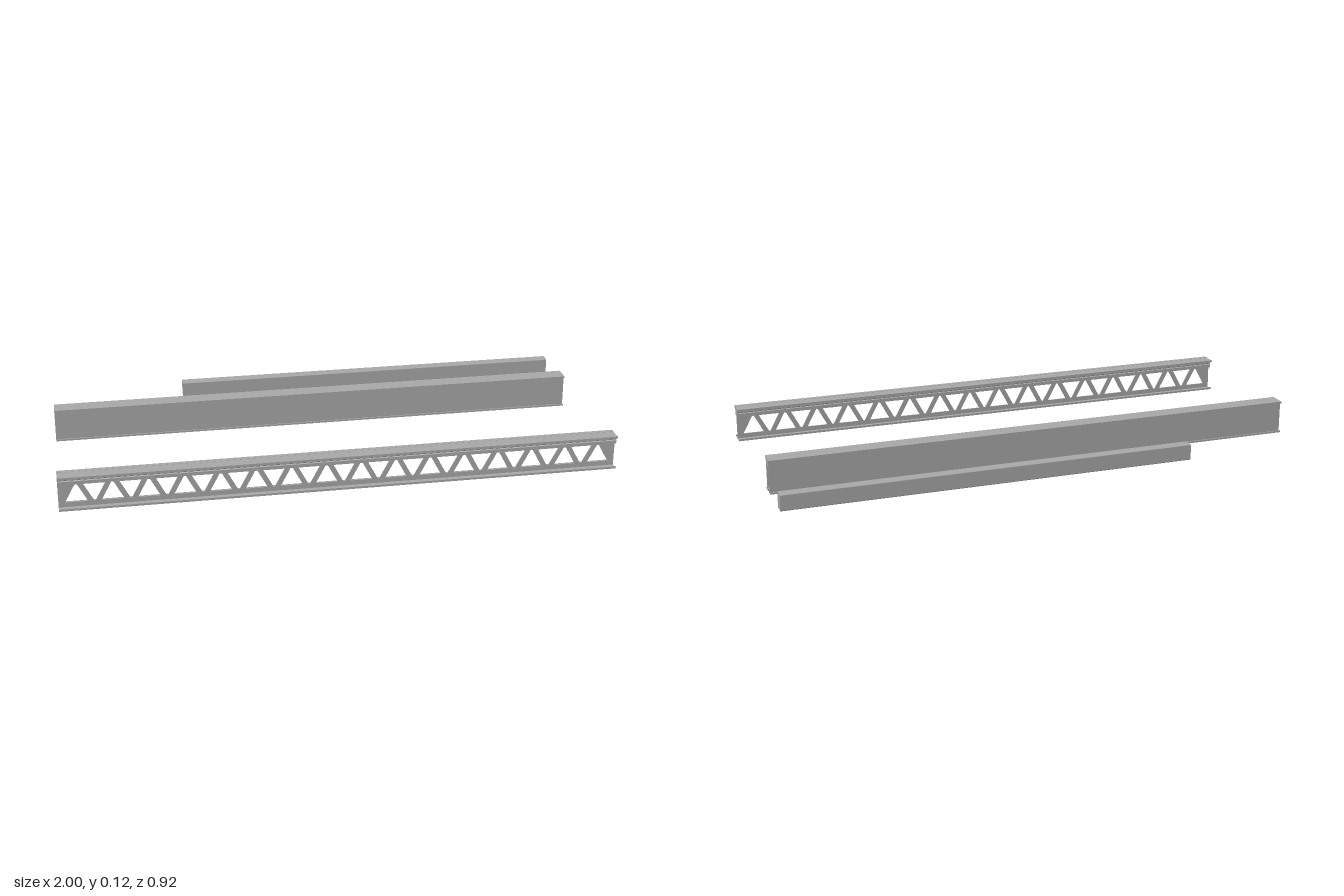
import * as THREE from 'three';

const steel = new THREE.MeshStandardMaterial({ color: 0xa8a8a8 });
steel.name = 'grey';

// Extrude a cross-section (across, up) along x from x0 to x1
function alongX(name, shape, x0, x1) {
  const geo = new THREE.ExtrudeGeometry(shape, { depth: x1 - x0, bevelEnabled: false, curveSegments: 5 });
  geo.rotateY(Math.PI / 2);
  geo.translate(x0, 0, 0);
  const mesh = new THREE.Mesh(geo, steel);
  mesh.name = name;
  return mesh;
}

// Closed polygon shape, turned to counter-clockwise order
function polygon(points) {
  const pts = points.map(p => new THREE.Vector2(p[0], p[1]));
  if (THREE.ShapeUtils.isClockWise(pts)) pts.reverse();
  return new THREE.Shape(pts);
}

// Outline of a folded sheet of thickness t following a centre line, with mitred folds
function sheet(points, t = 0.0022) {
  const p = points.map(q => new THREE.Vector2(q[0], q[1]));
  const normal = i => {
    const d = p[i + 1].clone().sub(p[i]).normalize();
    return new THREE.Vector2(-d.y, d.x);
  };
  const a = [], b = [];
  p.forEach((q, i) => {
    const n0 = normal(Math.max(i - 1, 0));
    const n1 = normal(Math.min(i, p.length - 2));
    const m = n0.clone().add(n1).normalize();
    m.multiplyScalar(t / 2 / m.dot(n1));
    a.push([q.x + m.x, q.y + m.y]);
    b.unshift([q.x - m.x, q.y - m.y]);
  });
  return polygon([...a, ...b]);
}

const mirror = pts => pts.map(([u, y]) => [-u, y]);
// A half outline plus its mirror image
const both = half => [...half, ...mirror(half).reverse()];

// Beam with a triangulated web and a timber-filled head
function trussBeam() {
  const g = new THREE.Group();
  g.name = 'trussBeam';
  const x0 = -1, x1 = 0.984;

  const side = [[0.027, 0.119], [0.0308, 0.119], [0.0308, 0.1235], [0.0165, 0.1235], [0.0165, 0.109],
    [0.0125, 0.106], [0.0165, 0.103], [0.0165, 0.0925], [0.001, 0.0925]];
  g.add(alongX('headSheetRear', sheet(side), x0, x1));
  g.add(alongX('headSheetFront', sheet(mirror(side)), x0, x1));
  const core = [[0.0165, 0.124], [0.0165, 0.109], [0.0125, 0.106], [0.0165, 0.103], [0.0165, 0.0925]];
  g.add(alongX('headFilling', polygon(both(core)), x0 + 0.001, x1 - 0.001));

  // Web plate with alternating upright and inverted triangular openings
  const web = polygon([[x0, 0.001], [x1, 0.001], [x1, 0.093], [x0, 0.093]]);
  const count = 16, pitch = (x1 - x0) / count;
  const low = 0.019, high = 0.086, wide = 0.039, tip = 0.003;
  for (let i = 0; i < 2 * count - 1; i++) {
    const c = x0 + (i + 1) * pitch / 2;
    const [base, apex] = i % 2 ? [high, low] : [low, high];
    const pts = [[c - wide, base], [c + wide, base], [c + tip, apex], [c - tip, apex]];
    const hole = pts.map(q => new THREE.Vector2(q[0], q[1]));
    if (!THREE.ShapeUtils.isClockWise(hole)) hole.reverse();
    web.holes.push(new THREE.Path(hole));
  }
  const webGeo = new THREE.ExtrudeGeometry(web, { depth: 0.004, bevelEnabled: false });
  webGeo.translate(0, 0, -0.002);
  const webMesh = new THREE.Mesh(webGeo, steel);
  webMesh.name = 'trussWeb';
  g.add(webMesh);

  const foot = [[0.027, 0.0065], [0.0308, 0.0065], [0.0308, 0.0011]];
  g.add(alongX('bottomFlange', sheet(both(foot)), x0, x1));
  g.position.z = 0.428;
  return g;
}

// Hollow beam with two plain webs and a timber insert under the top flange
function boxBeam() {
  const g = new THREE.Group();
  g.name = 'boxBeam';
  const x0 = -0.995, x1 = 0.985;

  const top = [[0.0275, 0.119], [0.0308, 0.119], [0.0308, 0.1235]];
  g.add(alongX('topFlange', sheet(both(top)), x0, x1));
  for (const s of [-1, 1]) {
    const web = [[s * 0.0195, 0.123], [s * 0.0195, 0.004]];
    g.add(alongX(s < 0 ? 'frontWeb' : 'rearWeb', sheet(web), x0, x1));
  }
  const insert = [[0.019, 0.123], [0.019, 0.0905]];
  g.add(alongX('timberInsert', polygon(both(insert)), x0 + 0.001, x1 - 0.001));

  // Bottom sheet folds up into a channel along its middle
  const foot = [[0.0275, 0.0065], [0.0308, 0.0065], [0.0308, 0.0022], [0.0095, 0.0022], [0.0095, 0.0115]];
  g.add(alongX('bottomFlange', sheet(both(foot)), x0, x1));
  g.position.z = -0.175;
  return g;
}

// Short solid bar with slightly rounded edges
function bar() {
  const w = 0.0205, lo = 0.035, hi = 0.093, r = 0.003;
  const s = new THREE.Shape();
  s.absarc(w - r, hi - r, r, 0, Math.PI / 2);
  s.absarc(-w + r, hi - r, r, Math.PI / 2, Math.PI);
  s.absarc(-w + r, lo + r, r, Math.PI, Math.PI * 1.5);
  s.absarc(w - r, lo + r, r, Math.PI * 1.5, Math.PI * 2);
  const mesh = alongX('solidBar', s, -0.49, 1);
  mesh.position.z = -0.44;
  return mesh;
}

export function createModel() {
  const model = new THREE.Group();
  model.name = 'formworkBeams';
  model.add(trussBeam(), boxBeam(), bar());
  return model;
}
